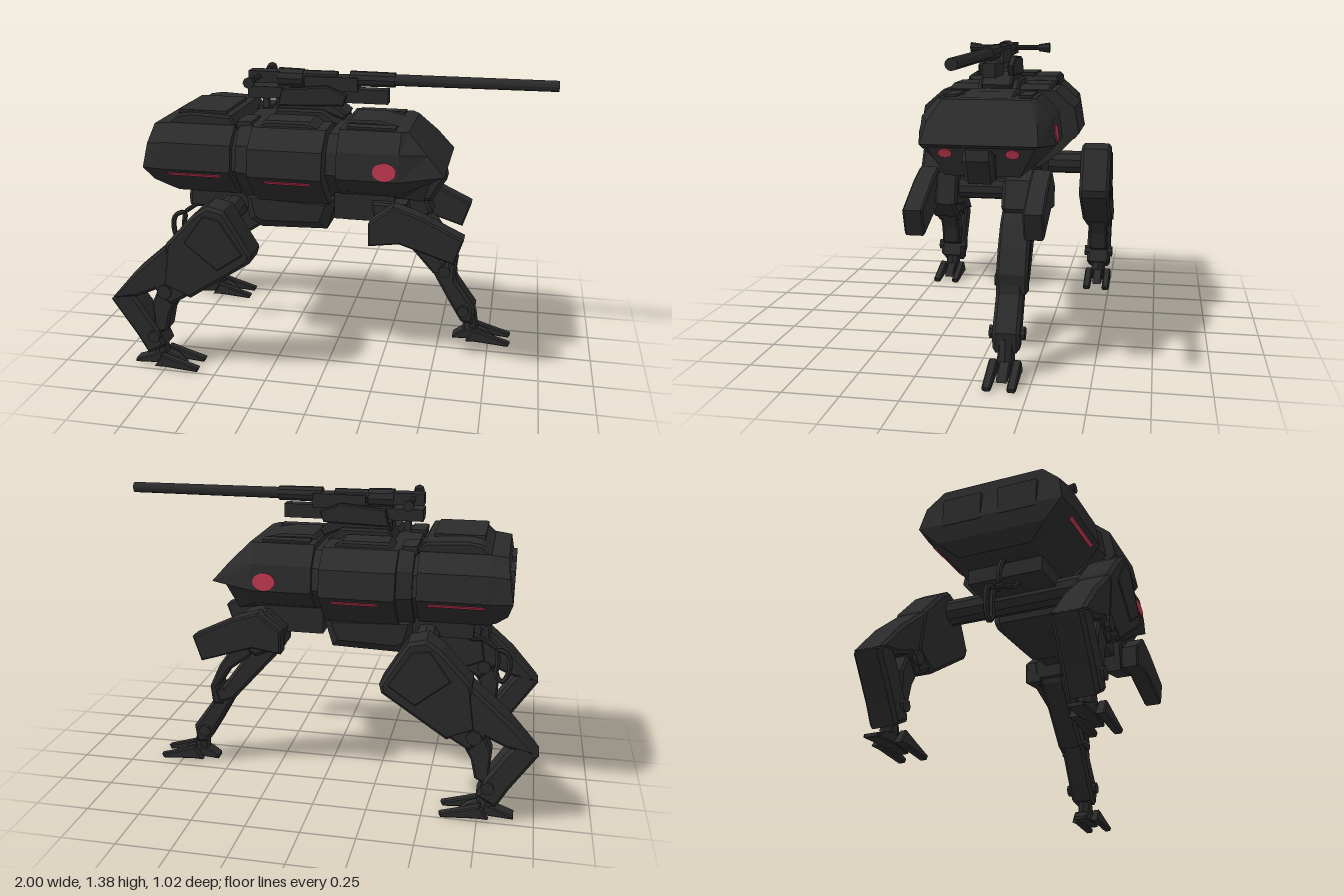
import * as THREE from 'three';

const armour = new THREE.MeshStandardMaterial({ color: 0x2b2b2b });
armour.name = 'charcoal armour';
const red = new THREE.MeshStandardMaterial({ color: 0xbc364f });
red.name = 'red marking';
const ZC = 0.015; // hull centre line

export function createModel() {
  const model = new THREE.Group();
  model.name = 'walker';

  const add = (name, geo, mat = armour, parent = model) => {
    const flat = geo.index ? geo.toNonIndexed() : geo;
    flat.computeVertexNormals();
    const mesh = new THREE.Mesh(flat, mat);
    mesh.name = name;
    parent.add(mesh);
    return mesh;
  };
  const box = (name, x0, x1, y0, y1, z0, z1, parent) =>
    add(name, new THREE.BoxGeometry(x1 - x0, y1 - y0, z1 - z0)
      .translate((x0 + x1) / 2, (y0 + y1) / 2, (z0 + z1) / 2), armour, parent);

  // side outline in x,y pulled out along z, with chamfered edges
  const slab = (name, pts, z, width, parent, b = 0.01) => {
    const shape = new THREE.Shape(pts.map(p => new THREE.Vector2(...p)));
    const geo = new THREE.ExtrudeGeometry(shape, {
      depth: width - 2 * b, bevelThickness: b, bevelSize: b, bevelOffset: -b, bevelSegments: 1,
    });
    return add(name, geo.translate(0, 0, z - width / 2 + b), armour, parent);
  };

  // straight round bar between two points
  const rod = (name, a, b, r0, r1 = r0, sides = 10, parent = model) => {
    const A = new THREE.Vector3(...a), B = new THREE.Vector3(...b);
    const dir = B.clone().sub(A);
    const mesh = add(name, new THREE.CylinderGeometry(r1, r0, dir.length(), sides), armour, parent);
    mesh.position.copy(A).add(B).multiplyScalar(0.5);
    mesh.quaternion.setFromUnitVectors(new THREE.Vector3(0, 1, 0), dir.normalize());
    return mesh;
  };

  // faceted hull: each ring has five levels, mirrored left to right
  const K = [0.7, 0.94, 1, 0.75, 0.5];
  const hull = (name, rings) => {
    const pos = [], idx = [];
    for (const { w, x, y, k = K } of rings) {
      for (let i = 0; i < 5; i++) pos.push(x[i], y[i], ZC + w * k[i]);
      for (let i = 4; i >= 0; i--) pos.push(x[i], y[i], ZC - w * k[i]);
    }
    for (let r = 0; r < rings.length - 1; r++) {
      for (let j = 0; j < 10; j++) {
        const a = r * 10 + j, b = r * 10 + (j + 1) % 10;
        idx.push(a, b, a + 10, b, b + 10, a + 10);
      }
    }
    const e = (rings.length - 1) * 10;
    for (let i = 0; i < 4; i++) {
      idx.push(e + i, e + i + 1, e + 9 - i, e + i + 1, e + 8 - i, e + 9 - i);
      idx.push(i, 9 - i, i + 1, i + 1, 9 - i, 8 - i);
    }
    const geo = new THREE.BufferGeometry();
    geo.setAttribute('position', new THREE.Float32BufferAttribute(pos, 3));
    geo.setIndex(idx);
    return add(name, geo);
  };
  const at = v => Array(5).fill(v);

  // body sections; the head overhangs a recessed face
  const yRear = [1.155, 1.08, 0.96, 0.87, 0.81];
  const yMid = [1.16, 1.08, 0.96, 0.86, 0.79];
  const yHead = [1.155, 1.07, 0.95, 0.87, 0.83];
  hull('rearBody', [
    { w: 0.335, x: [-0.82, -0.83, -0.85, -0.83, -0.78], y: [1.145, 1.07, 0.96, 0.88, 0.82] },
    { w: 0.348, x: at(-0.74), y: yRear },
    { w: 0.348, x: at(-0.43), y: yRear },
  ]);
  const yCore = [1.13, 1.06, 0.96, 0.88, 0.81];
  hull('bodyCore', [{ w: 0.32, x: at(-0.46), y: yCore }, { w: 0.29, x: at(0.1), y: yCore }]);
  hull('middleCollar', [{ w: 0.33, x: at(-0.41), y: yMid }, { w: 0.345, x: at(-0.34), y: yMid }]);
  hull('middleBody', [{ w: 0.388, x: at(-0.34), y: yMid }, { w: 0.388, x: at(0), y: yMid }]);
  hull('headBody', [
    { w: 0.314, x: at(0.05), y: yHead },
    { w: 0.314, x: at(0.33), y: yHead },
    { w: 0.26, x: [0.36, 0.45, 0.53, 0.47, 0.43], y: [1.15, 1.06, 0.97, 0.95, 0.82], k: [0.75, 0.94, 1, 0.92, 0.65] },
  ]);
  slab('snout', [[0.4, 0.79], [0.42, 0.93], [0.515, 0.95], [0.525, 0.9], [0.505, 0.87], [0.46, 0.79]], 0.02, 0.14, model, 0.02);

  // roof armour and hatches
  slab('rearDeck', [[-0.76, 1.14], [-0.7, 1.195], [-0.64, 1.205], [-0.45, 1.195], [-0.42, 1.14]], ZC, 0.48);
  box('rearHatch', -0.71, -0.48, 1.19, 1.21, -0.1, 0.22);
  for (const s of [-1, 1]) {
    const z = ZC + s * 0.17;
    slab('roofPlate', [[-0.32, 1.15], [-0.29, 1.185], [-0.08, 1.185], [-0.03, 1.15]], z, 0.15);
    box('collarLug', -0.42, -0.35, 1.14, 1.175, z - 0.07, z + 0.07);
    box('headRail', 0.08, 0.3, 1.14, 1.165, z - 0.03, z + 0.03);
    box('rearPanel', -0.85, -0.8, 0.95, 1.08, ZC + s * 0.13 - 0.09, ZC + s * 0.13 + 0.09);
  }
  slab('headCrest', [[0.05, 1.14], [0.08, 1.175], [0.22, 1.175], [0.36, 1.145]], ZC, 0.24);

  // red side ovals, strips and eyes
  for (const s of [-1, 1]) {
    const spot = add('sideOval', new THREE.CylinderGeometry(0.053, 0.053, 0.009, 20)
      .rotateX(Math.PI / 2).scale(1, 0.76, 1), red);
    spot.position.set(0.268, 0.993, ZC + s * 0.308);
    spot.rotation.x = -s * 0.156;
    for (const [x, len, w, low] of [[-0.605, 0.25, 0.348, 0.87], [-0.16, 0.21, 0.388, 0.86]]) {
      const drop = 0.96 - low;
      const strip = add('sideStrip', new THREE.BoxGeometry(len, 0.018, 0.009), red);
      strip.position.set(x, 0.96 - drop * 0.28, ZC + s * w * (1 - 0.25 * 0.28));
      strip.rotation.x = s * Math.atan2(0.25 * w, drop);
    }
    const eye = add('eye', new THREE.CylinderGeometry(0.033, 0.033, 0.009, 8)
      .rotateZ(Math.PI / 2).scale(1, 0.68, 1), red);
    eye.position.set(0.464, 0.925, 0.025 + s * 0.15);
    eye.rotation.z = -0.3;
  }

  // belly
  slab('bellyKeel', [[-0.43, 0.84], [-0.4, 0.68], [-0.34, 0.645], [-0.02, 0.655], [0.03, 0.82]], ZC, 0.4, model, 0.045);
  box('frontBelly', 0.02, 0.3, 0.72, 0.85, -0.17, 0.2);
  box('frontBellyBlock', 0.05, 0.18, 0.69, 0.75, -0.06, 0.12);
  box('rearBelly', -0.68, -0.4, 0.74, 0.84, -0.16, 0.19);
  rod('rearAxle', [-0.47, 0.74, -0.4], [-0.47, 0.74, 0.4], 0.06);
  rod('frontAxle', [0.29, 0.74, -0.24], [0.29, 0.74, 0.28], 0.05);

  // hanging tail cable and loop
  const cable = (name, pts, r, closed) => add(name, new THREE.TubeGeometry(
    new THREE.CatmullRomCurve3(pts.map(p => new THREE.Vector3(...p)), closed), 24, r, 6, closed));
  for (const z of [-0.03, 0.05]) {
    cable('tailCable', [[-0.58, 0.78, z], [-0.66, 0.7, z], [-0.72, 0.68, 0.02], [-0.78, 0.64, 0.02]], 0.012, false);
  }
  cable('tailBracket', [[-0.7, 0.82, 0.02], [-0.74, 0.74, 0.02], [-0.74, 0.68, 0.02]], 0.014, false);
  cable('tailLoop', [[-0.79, 0.63, 0.02], [-0.84, 0.61, 0.02], [-0.85, 0.53, 0.02],
    [-0.82, 0.47, 0.02], [-0.79, 0.5, 0.02], [-0.795, 0.57, 0.02]], 0.013, true);

  // clawed foot around an ankle point
  const foot = (parent, x, z, heel) => {
    for (const s of [-1, 1]) {
      slab('toe', [[x - 0.01, 0.01], [x + 0.03, 0.075], [x + 0.11, 0.05], [x + 0.21, 0.02], [x + 0.2, 0], [x + 0.04, 0.012]],
        z + s * 0.052, 0.038, parent, 0.006);
    }
    slab('middleToe', [[x, 0.02], [x + 0.02, 0.08], [x + 0.09, 0.05], [x + 0.13, 0.01]], z, 0.05, parent, 0.006);
    slab('heelClaw', [[x + 0.05, 0.015], [x + 0.03, 0.08], [x - 0.04, 0.05], [x - heel, 0.02], [x - heel, 0.005]], z, 0.07, parent, 0.006);
    rod('ankleLink', [x + 0.01, 0.05, z], [x, 0.16, z], 0.04, 0.035, 8, parent);
  };

  // rear legs
  for (const [name, z] of [['rearLeftLeg', 0.425], ['rearRightLeg', -0.43]]) {
    const leg = new THREE.Group();
    leg.name = name;
    model.add(leg);
    const out = Math.sign(z);
    slab('thigh', [[-0.57, 0.79], [-0.5, 0.84], [-0.42, 0.82], [-0.3, 0.62], [-0.31, 0.58], [-0.6, 0.385], [-0.73, 0.44], [-0.7, 0.65]], z - out * 0.002, 0.155, leg, 0.015);
    slab('thighArmour', [[-0.52, 0.8], [-0.44, 0.79], [-0.33, 0.62], [-0.46, 0.53], [-0.62, 0.66]], z + out * 0.065, 0.03, leg);
    slab('knee', [[-0.7, 0.64], [-0.6, 0.4], [-0.7, 0.34], [-0.77, 0.41], [-0.86, 0.37], [-0.99, 0.35], [-0.86, 0.5]], z, 0.145, leg, 0.015);
    slab('shin', [[-1, 0.34], [-0.92, 0.41], [-0.86, 0.34], [-0.77, 0.2], [-0.74, 0.12], [-0.83, 0.07], [-0.88, 0.16]], z, 0.13, leg, 0.015);
    slab('shinStrut', [[-0.66, 0.38], [-0.75, 0.44], [-0.8, 0.33], [-0.79, 0.17], [-0.73, 0.2], [-0.71, 0.29]], z, 0.1, leg);
    rod('kneePin', [-0.72, 0.41, z - 0.083], [-0.72, 0.41, z + 0.083], 0.035, 0.035, 8, leg);
    rod('anklePin', [-0.79, 0.17, z - 0.078], [-0.79, 0.17, z + 0.078], 0.03, 0.03, 8, leg);
    foot(leg, -0.79, z, 0.12);
  }

  // front hip covers
  for (const z of [0.283, -0.237]) {
    slab('frontHipCover', [[0.2, 0.75], [0.31, 0.835], [0.42, 0.8], [0.63, 0.7], [0.59, 0.58], [0.34, 0.66], [0.2, 0.64]], z, 0.09, model, 0.008);
  }
  slab('frontHipBlock', [[0.2, 0.82], [0.36, 0.82], [0.4, 0.68], [0.22, 0.64]], 0.19, 0.1);

  // single front leg
  const front = new THREE.Group();
  front.name = 'frontLeg';
  model.add(front);
  const FZ = -0.13;
  slab('hip', [[0.19, 0.75], [0.28, 0.83], [0.4, 0.8], [0.45, 0.68], [0.34, 0.6], [0.2, 0.66]], FZ - 0.02, 0.16, front, 0.015);
  slab('thigh', [[0.2, 0.7], [0.32, 0.69], [0.52, 0.42], [0.53, 0.34], [0.46, 0.36], [0.22, 0.63]], FZ - 0.01, 0.13, front, 0.015);
  slab('frontStrut', [[0.36, 0.7], [0.47, 0.62], [0.53, 0.53], [0.58, 0.42], [0.57, 0.33], [0.52, 0.33], [0.54, 0.42], [0.48, 0.51], [0.36, 0.6]], FZ - 0.01, 0.14, front, 0.012);
  slab('shin', [[0.46, 0.37], [0.57, 0.41], [0.58, 0.33], [0.68, 0.19], [0.67, 0.1], [0.61, 0.11], [0.55, 0.21]], FZ, 0.12, front, 0.015);
  rod('kneePin', [0.52, 0.38, FZ - 0.075], [0.52, 0.38, FZ + 0.07], 0.03, 0.03, 8, front);
  rod('anklePin', [0.62, 0.175, FZ - 0.078], [0.62, 0.175, FZ + 0.078], 0.03, 0.03, 8, front);
  foot(front, 0.65, FZ, 0.08);

  // roof gun
  const gun = new THREE.Group();
  gun.name = 'roofGun';
  model.add(gun);
  const GZ = 0.02, GY = 1.345;
  slab('mountBase', [[-0.3, 1.15], [-0.27, 1.21], [-0.05, 1.21], [0.02, 1.15]], GZ, 0.2, gun);
  slab('mountArm', [[-0.28, 1.2], [-0.28, 1.25], [-0.02, 1.25], [0.06, 1.19], [0.04, 1.16], [-0.06, 1.2]], GZ, 0.15, gun);
  for (const s of [-1, 1]) {
    slab('cradleSide', [[-0.27, 1.22], [-0.25, 1.3], [-0.04, 1.32], [0.06, 1.28], [0.04, 1.23]], GZ + s * 0.07, 0.03, gun, 0.006);
    rod('crossBar', [-0.37, GY, GZ], [-0.37, GY, GZ + s * 0.16], 0.013, 0.013, 8, gun);
    rod('crossBarGrip', [-0.37, GY, GZ + s * 0.15], [-0.37, GY, GZ + s * 0.205], 0.018, 0.026, 8, gun);
  }
  box('ammoBox', -0.42, -0.22, 1.245, 1.3, GZ - 0.05, GZ + 0.05, gun);
  box('handle', -0.36, -0.33, 1.19, 1.25, GZ - 0.015, GZ + 0.015, gun);
  box('breech', -0.42, -0.27, GY - 0.03, GY + 0.025, GZ - 0.035, GZ + 0.035, gun);
  rod('receiver', [-0.28, GY - 0.005, GZ], [-0.16, GY - 0.005, GZ], 0.045, 0.042, 10, gun);
  rod('receiverNeck', [-0.17, GY, GZ], [0, GY, GZ], 0.032, 0.032, 10, gun);
  box('gunBody', -0.15, 0.1, GY - 0.055, GY + 0.01, GZ - 0.045, GZ + 0.045, gun);
  rod('sleeve', [0.06, GY, GZ], [0.27, GY, GZ], 0.036, 0.034, 10, gun);
  box('underBarrel', 0.02, 0.24, 1.235, 1.3, GZ - 0.03, GZ + 0.03, gun);
  rod('barrel', [0.26, GY, GZ], [1, GY, GZ], 0.027, 0.025, 12, gun);

  return model;
}
